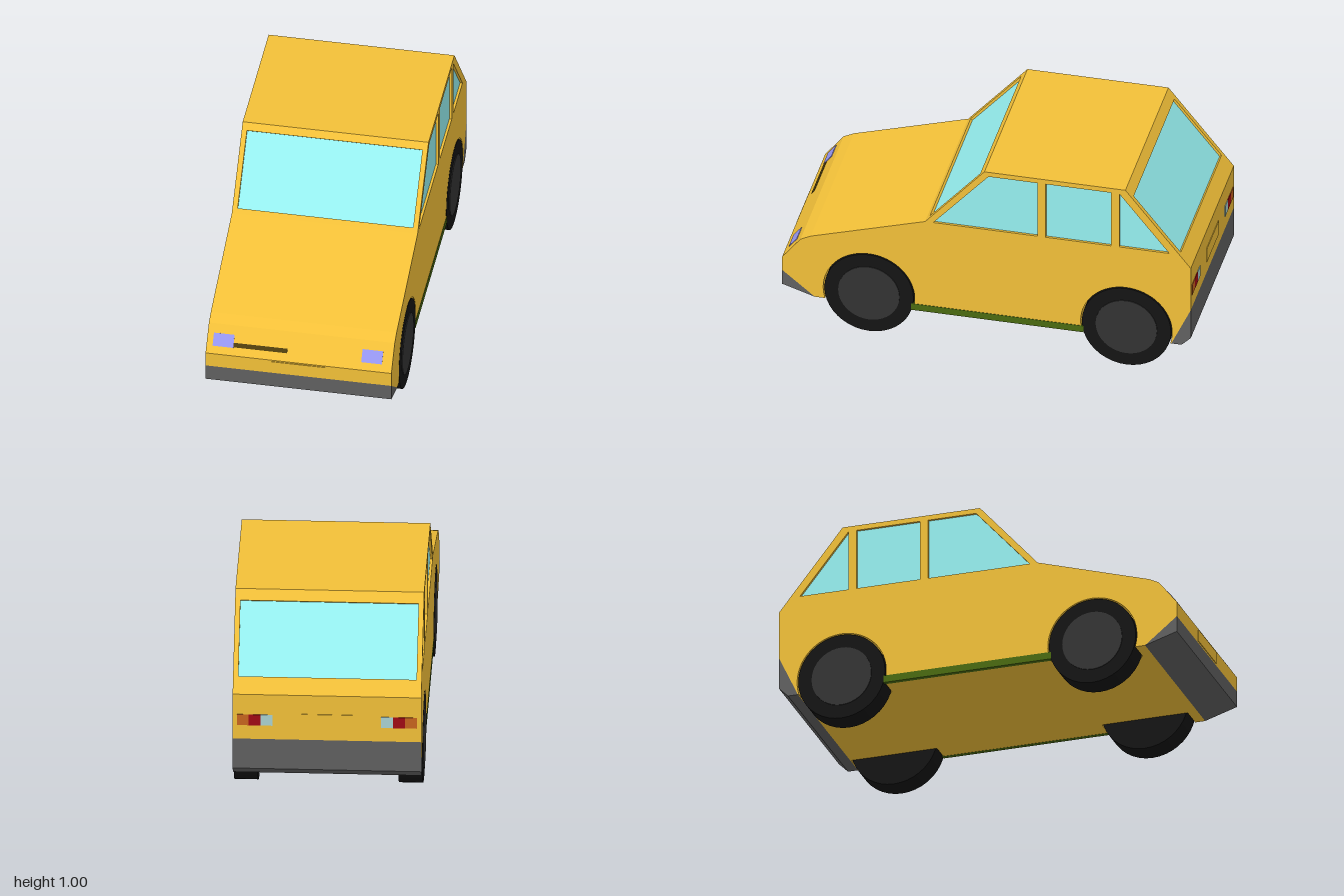
import * as THREE from 'three';

const paint = (color, extra = {}) => new THREE.MeshStandardMaterial({ color, ...extra });
const BODY = paint(0xf2c038), GLASS = paint(0x96f0f0), BUMPER = paint(0x606060);
const TYRE = paint(0x141414), HUB = paint(0x333333), SILL = paint(0x4a6a10);
const LAMP = paint(0x9696f0), DARK = paint(0x4d3c0c);
const ORANGE = paint(0xc8641e), RED = paint(0xa00a14), PALE = paint(0xaad2d2);

// Side outline corners, as [z, y]
const BELT = [0.30, 0.67], ROOF_F = [0.01, 1], ROOF_R = [-0.68, 1], TAIL = [-1, 0.60];
const NOSE = [1, 0.36], NOSE_TOP = [0.91, 0.475], TAIL_LOW = [-1, 0.36];
const FLOOR = 0.155, AXLE_Y = 0.218, WHEEL_R = 0.218, ARCH_R = 0.224;
const AXLES = [-0.685, 0.575];
const HALF = 0.45, SKIN = 0.425, WELL = 0.335;

// A point on the edge p-q, moved outwards by d
function onEdge(p, q, t, d) {
  const dz = q[0] - p[0], dy = q[1] - p[1], len = Math.hypot(dz, dy);
  return [p[0] + dz * t + (dy / len) * d, p[1] + dy * t - (dz / len) * d];
}

// Thin slab lying along an outline edge
function strip(p, q, t0, t1, inner, outer) {
  return [onEdge(p, q, t0, inner), onEdge(p, q, t0, outer),
    onEdge(p, q, t1, outer), onEdge(p, q, t1, inner)];
}

const toShape = pts => new THREE.Shape(pts.map(p => new THREE.Vector2(...p)));

// Extrude a (z, y) shape across the car from x = a to x = b
function across(name, shape, a, b, material) {
  const geo = new THREE.ExtrudeGeometry(Array.isArray(shape) ? toShape(shape) : shape,
    { depth: b - a, bevelEnabled: false, curveSegments: 28 });
  geo.rotateY(-Math.PI / 2).translate(b, 0, 0);
  const mesh = new THREE.Mesh(geo, material);
  mesh.name = name;
  return mesh;
}

const SCREEN = [BELT, ROOF_F, 0.06, 0.91];
const HATCH = [ROOF_R, TAIL, 0.11, 0.83];

// Body side outline, optionally with window recesses and wheel arches
function bodyShape(recessed, arches) {
  const recess = ([p, q, t0, t1]) => recessed
    ? [onEdge(p, q, t0, 0), ...[t0, t1].map(t => onEdge(p, q, t, -0.03)), onEdge(p, q, t1, 0)] : [];
  const s = toShape([
    [0.84, FLOOR], [1, 0.285], NOSE, NOSE_TOP, [0.86, 0.50], BELT, ...recess(SCREEN),
    ROOF_F, ROOF_R, ...recess(HATCH), TAIL, TAIL_LOW, [-0.905, FLOOR],
  ]);
  if (arches) {
    const a = Math.asin((AXLE_Y - FLOOR) / ARCH_R);
    for (const z of AXLES) s.absarc(z, AXLE_Y, ARCH_R, Math.PI + a, -a, true);
  }
  return s;
}

const SIDE_WINDOWS = [
  [[0.26, 0.67], [-0.01, 0.975], [-0.25, 0.975], [-0.25, 0.67]],
  [[-0.29, 0.67], [-0.29, 0.975], [-0.61, 0.975], [-0.61, 0.67]],
  [[-0.65, 0.67], [-0.65, 0.975], [-0.895, 0.67]],
];

function makeWheel(side, z) {
  const wheel = new THREE.Group();
  wheel.name = 'wheel';
  const add = (name, r, width, x, material) => {
    const m = new THREE.Mesh(new THREE.CylinderGeometry(r, r, width, 40), material);
    m.name = name;
    m.rotation.z = Math.PI / 2;
    m.position.x = side * x;
    wheel.add(m);
  };
  add('tyre', WHEEL_R, HALF - WELL, (HALF + WELL) / 2, TYRE);
  add('hub', 0.15, 0.02, HALF - 0.006, HUB);
  wheel.position.set(0, AXLE_Y, z);
  return wheel;
}

export function createModel() {
  const car = new THREE.Group();
  car.name = 'car';
  const add = (...args) => car.add(across(...args));
  // Same part on both sides, given by its distance from the middle
  const both = (name, shape, a, b, material) => {
    add(name, shape, a, b, material);
    add(name, shape, -b, -a, material);
  };

  // Bodywork: core, wheel well layers, and side skins with window openings
  add('bodyCore', bodyShape(true, false), -WELL, WELL, BODY);
  both('bodyShoulder', bodyShape(true, true), WELL, SKIN, BODY);
  const skin = bodyShape(false, true);
  for (const w of SIDE_WINDOWS) skin.holes.push(new THREE.Path(w.map(p => new THREE.Vector2(...p))));
  both('bodySide', skin, SKIN, HALF, BODY);

  // Glass
  add('windscreen', strip(...SCREEN, -0.03, -0.012), -SKIN, SKIN, GLASS);
  add('rearWindow', strip(...HATCH, -0.03, -0.012), -SKIN, SKIN, GLASS);
  for (const w of SIDE_WINDOWS) both('sideWindow', w, SKIN, HALF - 0.012, GLASS);

  // Bumpers and sills
  add('frontBumper', [[0.84, FLOOR], [1, 0.205], [1, 0.285]], -HALF, HALF, BUMPER);
  add('rearBumper', [[-0.905, FLOOR], TAIL_LOW, [-1, 0.2], [-0.955, FLOOR]], -HALF, HALF, BUMPER);
  both('sill', [[0.368, FLOOR - 0.001], [0.368, 0.19], [-0.475, 0.19], [-0.475, FLOOR - 0.001]],
    HALF - 0.02, HALF + 0.002, SILL);

  // Nose: headlights, grille slot and plate
  const lamp = strip(NOSE, NOSE_TOP, 0.26, 0.69, -0.01, 0.003);
  add('headlight', lamp, -0.42, -0.32, LAMP);
  add('headlight', lamp, 0.30, 0.40, LAMP);
  add('grille', strip(NOSE, NOSE_TOP, 0.28, 0.43, -0.01, 0.002), -0.36, -0.06, DARK);
  add('frontPlate', strip([1, 0.285], NOSE, 0.11, 0.91, -0.01, 0.003), -0.132, 0.132, BODY);

  // Tail: lamp clusters and plate
  const tailLamp = strip(TAIL, TAIL_LOW, 0.45, 0.69, -0.01, 0.003);
  [ORANGE, RED, PALE].forEach((m, i) =>
    both('tailLight', tailLamp, 0.373 - i * 0.057, 0.43 - i * 0.057, m));
  add('rearPlate', strip(TAIL, TAIL_LOW, 0.42, 0.74, -0.01, 0.003), -0.122, 0.122, BODY);

  // Wheels
  for (const side of [-1, 1]) for (const z of AXLES) car.add(makeWheel(side, z));
  return car;
}
